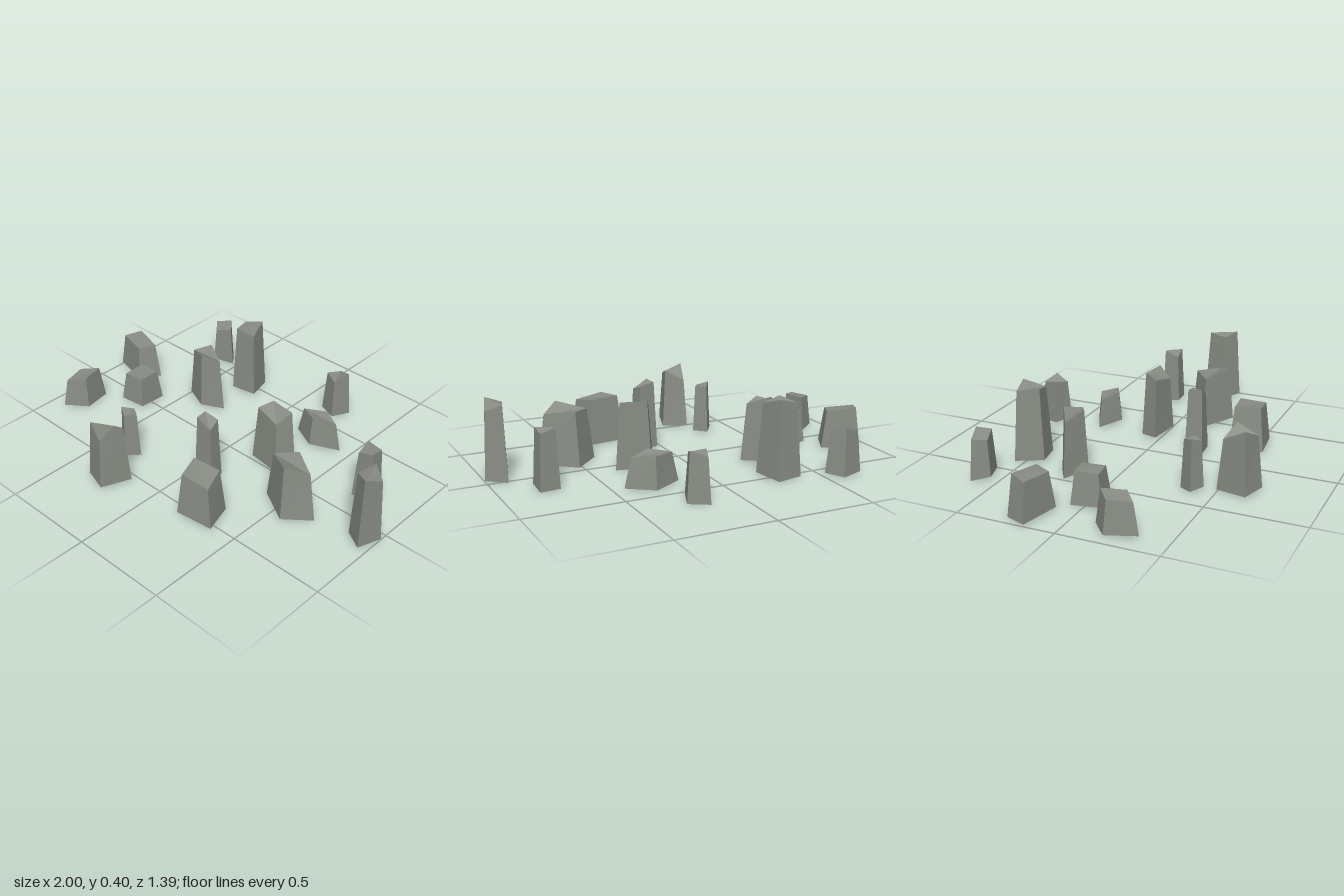
import * as THREE from 'three';

const TAPER = 0.76; // top width relative to the base

// One four-sided standing stone: centre, two half diagonals of its base,
// and the heights of its four top corners (clockwise from above).
function makeStone(material, [cx, cz], [ax, az], [bx, bz], heights) {
  const offsets = [[-ax, -az], [-bx, -bz], [ax, az], [bx, bz]];
  const depth = Math.max(Math.abs(az), Math.abs(bz));
  const positions = [];
  // slightly uneven foot
  for (const [x, z] of offsets) positions.push(cx + x, 0.0075 * (1 + z / depth), cz + z);
  // narrower, jagged top
  offsets.forEach(([x, z], i) => positions.push(cx + x * TAPER, heights[i], cz + z * TAPER));

  const index = [0, 1, 2, 0, 2, 3, 4, 7, 6, 4, 6, 5];
  for (let i = 0; i < 4; i++) {
    const j = (i + 1) % 4;
    index.push(j, i, i + 4, j, i + 4, j + 4);
  }
  const indexed = new THREE.BufferGeometry();
  indexed.setAttribute('position', new THREE.Float32BufferAttribute(positions, 3));
  indexed.setIndex(index);
  const geometry = indexed.toNonIndexed();
  geometry.computeVertexNormals();
  return new THREE.Mesh(geometry, material);
}

export function createModel() {
  const group = new THREE.Group();
  group.name = 'standingStones';
  const material = new THREE.MeshStandardMaterial({ color: 0x888c84, flatShading: true });

  const add = (name, ...shape) => {
    const stone = makeStone(material, ...shape);
    stone.name = name;
    group.add(stone);
  };

  // Back stones
  add('backRightSliver', [-0.61, -0.6], [0.09, 0.02], [-0.025, 0.055], [0.215, 0.245, 0.225, 0.2]);
  add('backTallStone', [-0.31, -0.49], [0.09, 0.06], [-0.045, 0.085], [0.37, 0.4, 0.365, 0.385]);
  add('backLeftStone', [0.2, -0.63], [0.03, 0.075], [-0.07, 0.03], [0.22, 0.25, 0.22, 0.235]);
  add('backLowStone', [0.305, -0.355], [0.14, 0], [-0.005, 0.072], [0.155, 0.16, 0.155, 0.17]);

  // Middle stones
  add('middleWedgeStone', [-0.375, -0.22], [0.125, 0], [0.015, 0.065], [0.29, 0.335, 0.3, 0.32]);
  add('farRightStone', [-0.87, -0.185], [0.075, 0.083], [-0.13, 0.03], [0.21, 0.2, 0.195, 0.2]);
  add('leftPost', [0.76, -0.165], [0.053, 0.045], [-0.05, 0.053], [0.3, 0.28, 0.295, 0.27]);
  add('centreStone', [0.26, -0.05], [0.067, 0.062], [-0.115, 0.033], [0.34, 0.345, 0.29, 0.32]);
  add('rightLowStone', [-0.655, 0.005], [0.073, 0.07], [-0.067, 0.087], [0.17, 0.165, 0.17, 0.17]);
  add('farLeftTallStone', [0.933, 0.075], [0.03, 0.095], [-0.067, 0.035], [0.38, 0.345, 0.39, 0.37]);

  // Front stones
  add('frontLeftWideStone', [0.545, 0.155], [0.15, 0], [0.03, 0.11], [0.27, 0.28, 0.265, 0.305]);
  add('frontRightSliver', [-0.868, 0.238], [-0.033, 0.12], [-0.07, -0.035], [0.18, 0.18, 0.165, 0.17]);
  add('frontPost', [0.08, 0.24], [0.06, 0.04], [-0.045, 0.048], [0.35, 0.335, 0.31, 0.355]);
  add('frontRightPost', [-0.335, 0.38], [0.01, 0.055], [-0.058, 0.013], [0.25, 0.255, 0.25, 0.27]);
  add('frontBroadStone', [0.255, 0.467], [0.128, 0.07], [-0.07, 0.095], [0.245, 0.24, 0.22, 0.24]);
  add('frontTallStone', [-0.26, 0.59], [0.04, 0.1], [-0.09, 0.058], [0.26, 0.315, 0.28, 0.328]);

  return group;
}
